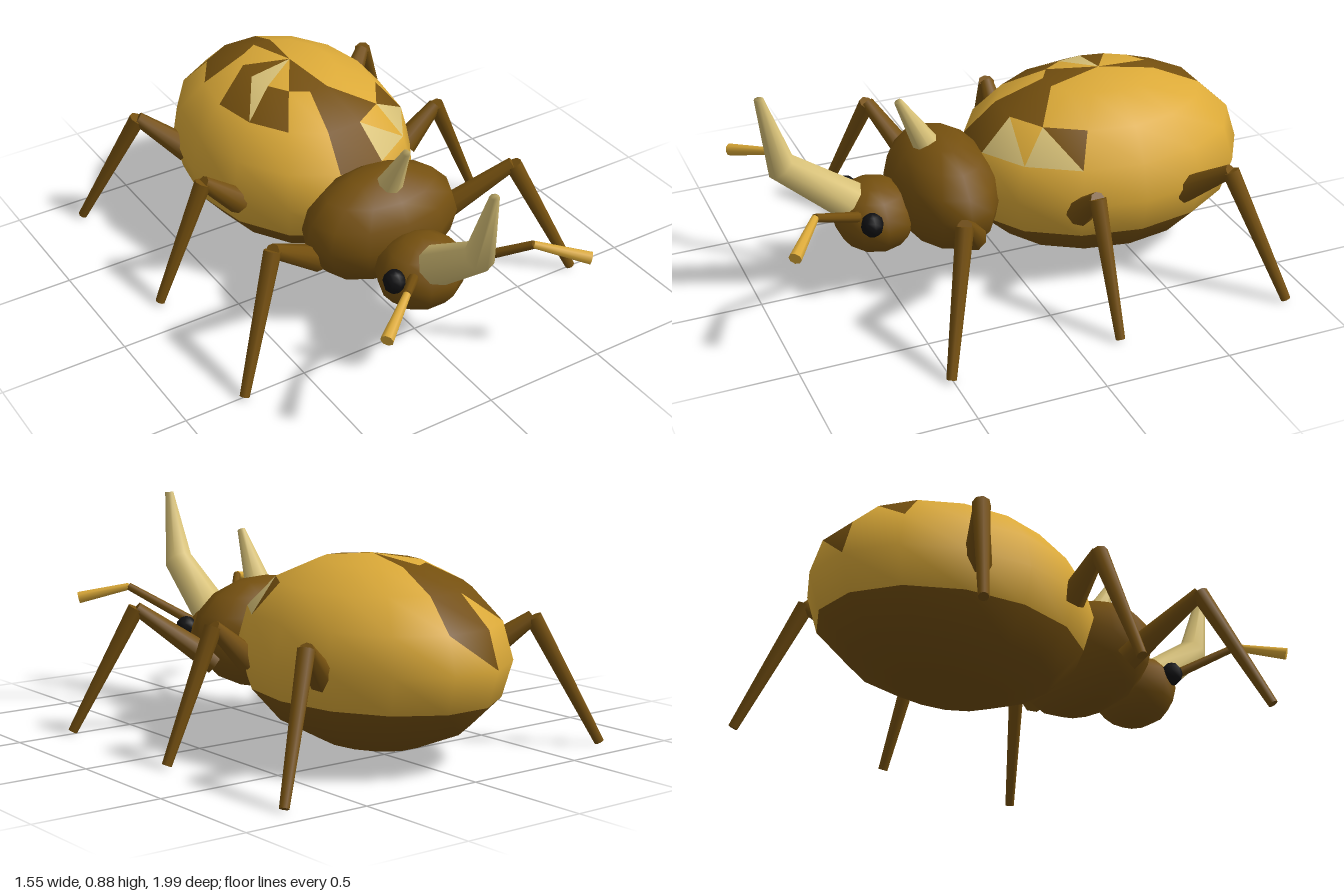
import * as THREE from 'three';

const mat = (name, color) => {
  const m = new THREE.MeshStandardMaterial({ color });
  m.name = name;
  return m;
};

export function createModel() {
  const gold = mat('gold', 0xdcaa38);
  const brown = mat('brown', 0x75500f);
  const cream = mat('cream', 0xd9c278);
  const black = mat('black', 0x101012);

  const model = new THREE.Group();
  model.name = 'beetle';

  const add = (parent, name, geometry, material) => {
    const mesh = new THREE.Mesh(geometry, material);
    mesh.name = name;
    parent.add(mesh);
    return mesh;
  };

  const ellipsoid = (center, radii, cols, rows) =>
    new THREE.SphereGeometry(1, cols, rows).scale(...radii).translate(...center);

  // Tapered rod between two points
  const rod = (from, to, r0, r1, sides = 8) => {
    const a = new THREE.Vector3(...from);
    const dir = new THREE.Vector3(...to).sub(a);
    const length = dir.length();
    const turn = new THREE.Quaternion().setFromUnitVectors(new THREE.Vector3(0, 1, 0), dir.normalize());
    return new THREE.CylinderGeometry(r1, r0, length, sides)
      .translate(0, length / 2, 0).applyQuaternion(turn).translate(...from);
  };

  // Horn lofted through rings in the x = 0 plane: [y, z, radius, tilt]
  const horn = (rings, sides = 8) => {
    const pos = [], index = [];
    for (const [y, z, r, tilt] of rings) {
      for (let i = 0; i < sides; i++) {
        const t = (i / sides) * Math.PI * 2;
        const d = r * Math.sin(t);
        pos.push(r * Math.cos(t), y + d * Math.sin(tilt), z - d * Math.cos(tilt));
      }
    }
    for (let k = 0; k < rings.length - 1; k++) {
      for (let i = 0; i < sides; i++) {
        const j = (i + 1) % sides, p = k * sides, q = p + sides;
        index.push(p + i, p + j, q + j, p + i, q + j, q + i);
      }
    }
    const last = (rings.length - 1) * sides;
    for (let i = 1; i < sides - 1; i++) index.push(last, last + i, last + i + 1);
    const g = new THREE.BufferGeometry();
    g.setAttribute('position', new THREE.Float32BufferAttribute(pos, 3));
    g.setIndex(index);
    g.computeVertexNormals();
    return g;
  };

  // Abdomen: faces sorted into gold shell, brown belly and patches, cream patches
  // Patch keys are row, column, then u (upper) or l (lower) triangle
  const COLS = 14, ROWS = 8;
  const brownFaces = new Set((
    '0-10l 1-10u 1-10l 2-10u 2-10l 3-10u 2-11u 1-11u 1-11l 1-12l ' +
    '0-13l 1-13u 1-0l 1-1u 1-1l ' +
    '0-2l 0-3l 1-3u 1-3l 2-3u 2-3l 1-4l 2-5u').split(' '));
  const creamFaces = new Set('0-0l 1-0u 2-4l 2-5l'.split(' '));
  const abdomen = ellipsoid([0, 0.395, -0.42], [0.46, 0.37, 0.595], COLS, ROWS);
  const source = abdomen.index.array;
  const lists = [[], [], []];
  let f = 0;
  for (let row = 0; row < ROWS; row++) {
    for (let col = 0; col < COLS; col++) {
      for (const half of ['u', 'l']) {
        if ((row === 0 && half === 'u') || (row === ROWS - 1 && half === 'l')) continue;
        const key = `${row}-${col}${half}`;
        const slot = creamFaces.has(key) ? 2 : row >= 5 || brownFaces.has(key) ? 1 : 0;
        lists[slot].push(source[f], source[f + 1], source[f + 2]);
        f += 3;
      }
    }
  }
  abdomen.setIndex(lists.flat());
  let start = 0;
  lists.forEach((list, i) => {
    abdomen.addGroup(start, list.length, i);
    start += list.length;
  });
  add(model, 'abdomen', abdomen, [gold, brown, cream]);

  // Thorax and head
  add(model, 'thorax', ellipsoid([0, 0.375, 0.25], [0.335, 0.227, 0.21], 12, 8), brown);
  add(model, 'head', ellipsoid([0, 0.31, 0.53], [0.18, 0.146, 0.163], 10, 8), brown);

  // Horns
  add(model, 'headHorn', horn([
    [0.395, 0.635, 0.08, 0.82],
    [0.592, 0.887, 0.06, 0.68],
    [0.882, 0.953, 0.018, 0.1],
  ]), cream);
  add(model, 'thoraxHorn', horn([
    [0.56, 0.305, 0.054, 0.5],
    [0.77, 0.418, 0.016, 0.5],
  ]), cream);

  // Hip, knee and foot of each leg on the +x side
  const legs = {
    frontLeg: [[0.27, 0.28, 0.225], [0.545, 0.505, 0.365], [0.76, 0.015, 0.507]],
    middleLeg: [[0.39, 0.365, -0.165], [0.545, 0.505, -0.165], [0.76, 0.015, -0.17]],
    rearLeg: [[0.385, 0.365, -0.61], [0.545, 0.505, -0.725], [0.76, 0.015, -0.883]],
  };

  // Paired parts
  for (const s of [1, -1]) {
    const side = s > 0 ? 'left' : 'right';
    const flip = ([x, y, z]) => [s * x, y, z];

    for (const [name, points] of Object.entries(legs)) {
      const [hip, knee, foot] = points.map(flip);
      const leg = new THREE.Group();
      leg.name = `${side} ${name}`;
      add(leg, 'thigh', rod(hip, knee, 0.054, 0.028), brown);
      add(leg, 'shin', rod(knee, foot, 0.034, 0.019), brown);
      model.add(leg);
    }

    add(model, `${side} eye`, ellipsoid(flip([0.16, 0.355, 0.59]), [0.045, 0.048, 0.045], 8, 6), black);

    const antenna = new THREE.Group();
    antenna.name = `${side} antenna`;
    const bend = flip([0.28, 0.508, 0.845]);
    add(antenna, 'antennaStem', rod(flip([0.08, 0.35, 0.6]), bend, 0.022, 0.016), brown);
    add(antenna, 'antennaTip', rod(bend, flip([0.448, 0.46, 0.973]), 0.015, 0.025), gold);
    model.add(antenna);
  }

  return model;
}
